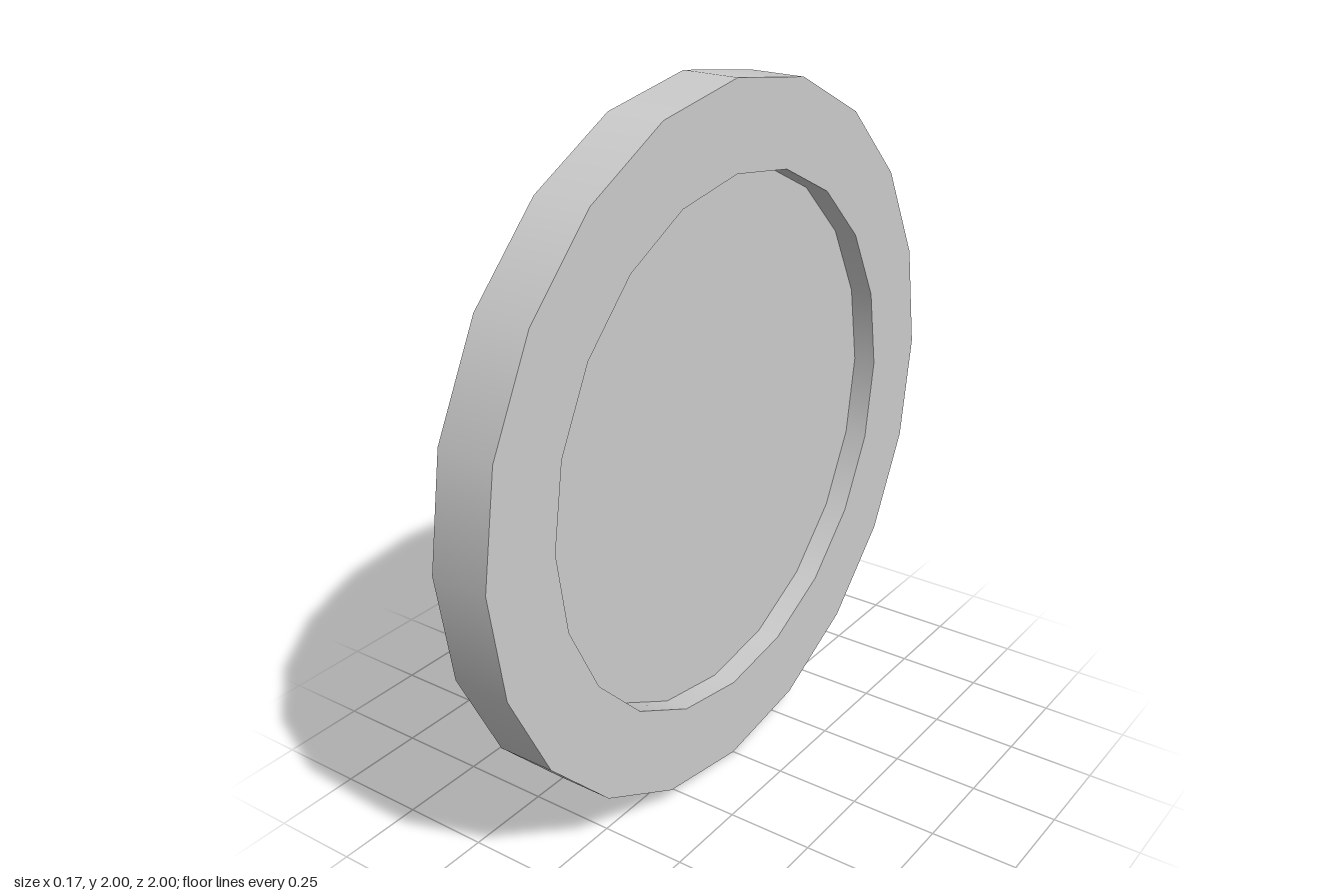
import * as THREE from 'three';
import { mergeGeometries } from 'three/addons/utils/BufferGeometryUtils.js';

const SIDES = 20;
const HALF = 0.083;   // half thickness
const INNER = 0.757;  // recess radius
const FLOOR = 0.015;  // height of the recess floor

// Revolve each profile segment on its own, so walls are smooth and edges stay sharp
function revolve(profile) {
  const bands = [];
  for (let i = 0; i < profile.length - 1; i++) {
    const pair = [profile[i], profile[i + 1]].map(([r, y]) => new THREE.Vector2(r, y));
    bands.push(new THREE.LatheGeometry(pair, SIDES));
  }
  return mergeGeometries(bands);
}

export function createModel() {
  const group = new THREE.Group();
  group.name = 'recessedDisc';
  const material = new THREE.MeshStandardMaterial({ color: 0xcccccc });

  // Each part is turned so that its axis runs along x, recess towards +x
  const addPart = (name, profile) => {
    const geometry = revolve(profile);
    geometry.rotateZ(-Math.PI / 2);
    geometry.translate(0, 1, 0);
    const mesh = new THREE.Mesh(geometry, material);
    mesh.name = name;
    group.add(mesh);
  };

  // Flat back, outer wall, raised rim and inner wall
  addPart('rim', [[0, -HALF], [1, -HALF], [1, HALF], [INNER, HALF], [INNER, FLOOR]]);
  // Sunken face inside the rim
  addPart('recessFloor', [[INNER, FLOOR], [0, FLOOR]]);

  return group;
}
